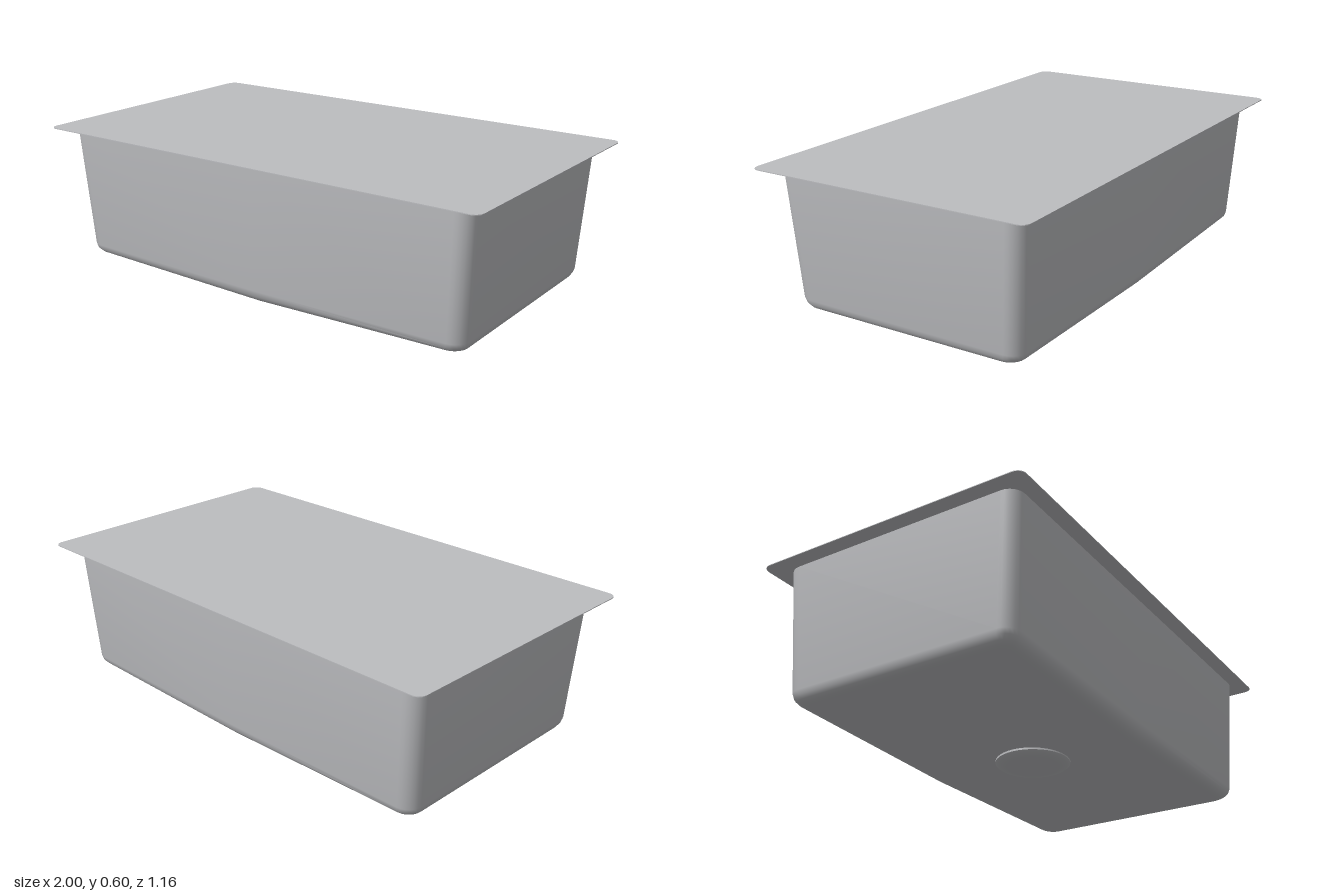
import * as THREE from 'three';
import { toCreasedNormals } from 'three/addons/utils/BufferGeometryUtils.js';

const STEPS = 6;

// Rounded rectangle outline in x/z, with extra points halfway along the long sides
function outline(hx, hz, r) {
  const pts = [];
  [[1, 1], [-1, 1], [-1, -1], [1, -1]].forEach(([sx, sz], q) => {
    for (let k = 0; k <= STEPS; k++) {
      const a = (q + k / STEPS) * Math.PI / 2;
      pts.push([sx * (hx - r) + r * Math.cos(a), sz * (hz - r) + r * Math.sin(a)]);
    }
    if (q === 0) pts.push([0, hz]);
    if (q === 2) pts.push([0, -hz]);
  });
  return pts;
}

// Tapered bowl: stacked outlines whose lower rows sag toward the middle
function bowlGeometry() {
  // half width, half depth, corner radius, height, sag at x = 0
  const rows = [
    [0.935, 0.517, 0.06, 0.594, 0],
    [0.905, 0.488, 0.06, 0.085, 0.01],
    [0.9, 0.483, 0.06, 0.066, 0.015],
    [0.89, 0.468, 0.055, 0.051, 0.018],
    [0.877, 0.452, 0.05, 0.043, 0.02],
    [0.86, 0.435, 0.045, 0.04, 0.021],
  ];
  const pos = [], idx = [];
  let n = 0;
  for (const [hx, hz, r, y, sag] of rows) {
    const pts = outline(hx, hz, r);
    n = pts.length;
    for (const [x, z] of pts) pos.push(x, y - sag * (1 - Math.abs(x) / hx), z);
  }
  for (let i = 0; i < rows.length - 1; i++) {
    for (let j = 0; j < n; j++) {
      const a = i * n + j, b = i * n + (j + 1) % n;
      idx.push(a, b, a + n, b, b + n, a + n);
    }
  }
  // Floor fan
  const c = pos.length / 3, last = (rows.length - 1) * n;
  pos.push(0, 0.018, 0);
  for (let j = 0; j < n; j++) idx.push(c, last + j, last + (j + 1) % n);
  const g = new THREE.BufferGeometry();
  g.setAttribute('position', new THREE.Float32BufferAttribute(pos, 3));
  g.setIndex(idx);
  return toCreasedNormals(g, 0.6);
}

export function createModel() {
  const group = new THREE.Group();
  const steel = new THREE.MeshStandardMaterial({ color: 0xbcbdc0, side: THREE.DoubleSide });
  steel.name = 'brushed steel';
  const add = (name, geometry) => {
    const mesh = new THREE.Mesh(geometry, steel);
    mesh.name = name;
    group.add(mesh);
    return mesh;
  };

  // Thin top flange plate with small rounded corners
  const shape = new THREE.Shape(outline(1, 0.58, 0.035).map(([x, z]) => new THREE.Vector2(x, z)));
  const plate = new THREE.ExtrudeGeometry(shape, { depth: 0.003, bevelEnabled: false });
  plate.rotateX(-Math.PI / 2);
  add('topPlate', plate).position.y = 0.593;

  add('bowl', bowlGeometry());

  // Shallow drain boss under the floor
  const profile = [[0, 0], [0.11, 0], [0.14, 0.006], [0.15, 0.014], [0.15, 0.022]]
    .map(([x, y]) => new THREE.Vector2(x, y));
  add('drain', toCreasedNormals(new THREE.LatheGeometry(profile, 40), 0.5));

  return group;
}
